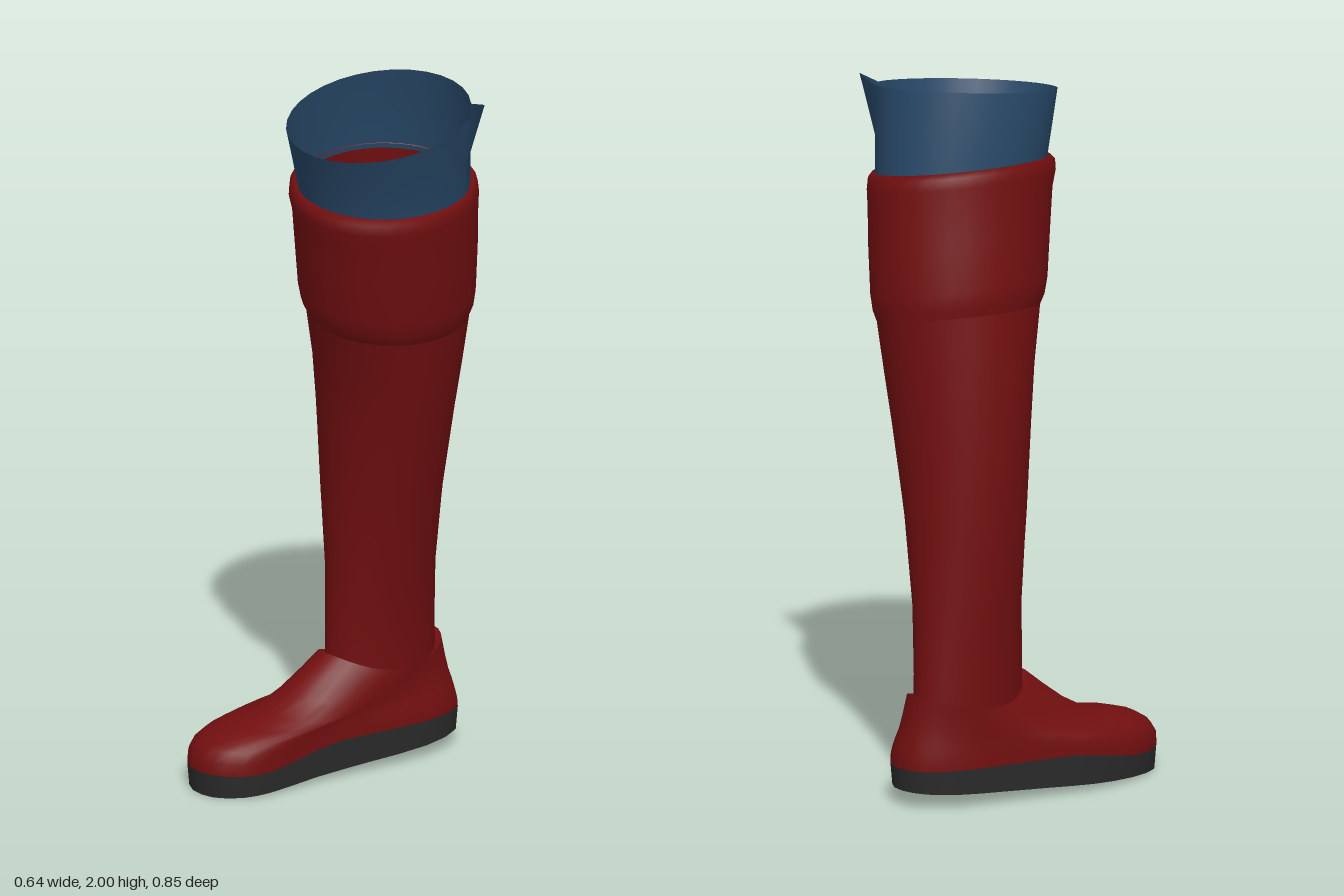
import * as THREE from 'three';

const N = 32;
const V = (x, y, z) => new THREE.Vector3(x, y, z);

// Smooth closed-loop skin through a stack of rings
function loft(rings) {
  const n = rings[0].length, pos = [], idx = [];
  rings.forEach(r => r.forEach(p => pos.push(p.x, p.y, p.z)));
  for (let i = 0; i < rings.length - 1; i++) {
    for (let j = 0; j < n; j++) {
      const k = (j + 1) % n, a = i * n, b = a + n;
      idx.push(a + j, b + j, a + k, b + j, b + k, a + k);
    }
  }
  const g = new THREE.BufferGeometry();
  g.setAttribute('position', new THREE.Float32BufferAttribute(pos, 3));
  g.setIndex(idx);
  g.computeVertexNormals();
  return g;
}

// Tilted oval ring from its x and z extents; y falls along +x by sx and +z by sz
function oval([y, x0, x1, zBack, zFront, sx = 0, sz = 0]) {
  const cx = (x0 + x1) / 2, cz = (zBack + zFront) / 2;
  return Array.from({ length: N }, (_, j) => {
    const a = j / N * Math.PI * 2;
    const dx = Math.cos(a) * (x1 - x0) / 2, dz = Math.sin(a) * (zFront - zBack) / 2;
    return V(cx + dx, y - sx * dx - sz * dz, cz + dz);
  });
}

export function createModel() {
  const group = new THREE.Group();
  const mat = (name, color) => {
    const m = new THREE.MeshStandardMaterial({ color, side: THREE.DoubleSide });
    m.name = name;
    return m;
  };
  const red = mat('red leather', 0x720f10);
  const blue = mat('blue cloth', 0x274766);
  const dark = mat('dark rubber', 0x2a2a2a);
  const add = (name, geo, m) => {
    const mesh = new THREE.Mesh(geo, m);
    mesh.name = name;
    group.add(mesh);
  };

  // Shaft, from ankle to just under the cuff
  add('shaft', loft([
    [0.25, -0.23, -0.01, -0.375, -0.02],
    [0.36, -0.23, -0.008, -0.37, -0.02],
    [0.55, -0.235, 0.02, -0.355, -0.02],
    [0.80, -0.25, 0.075, -0.35, 0.0, 0.03],
    [1.05, -0.25, 0.14, -0.35, 0.03, 0.08, 0.02],
    [1.20, -0.24, 0.175, -0.357, 0.06, 0.12, 0.03],
    [1.35, -0.225, 0.205, -0.367, 0.105, 0.18, 0.04],
  ].map(oval)), red);

  // Folded cuff with a rolled top edge
  add('cuff', loft([
    [1.345, -0.222, 0.205, -0.366, 0.105, 0.18, 0.04],
    [1.375, -0.228, 0.222, -0.372, 0.125, 0.18, 0.04],
    [1.42, -0.23, 0.233, -0.375, 0.138, 0.18, 0.04],
    [1.55, -0.212, 0.255, -0.365, 0.167, 0.17, 0.04],
    [1.66, -0.198, 0.27, -0.355, 0.19, 0.17, 0.04],
    [1.705, -0.197, 0.28, -0.352, 0.206, 0.17, 0.04],
    [1.735, -0.192, 0.278, -0.348, 0.206, 0.17, 0.04],
    [1.75, -0.18, 0.268, -0.335, 0.192, 0.17, 0.04],
    [1.735, -0.168, 0.255, -0.32, 0.178, 0.17, 0.04],
  ].map(oval)), red);

  // Lining band, leaning forward, with one pulled corner on the back of the rim
  const rim = oval([1.953, -0.15, 0.315, -0.29, 0.252, 0.11, 0.15]);
  rim[28].set(0.28, 1.99, -0.235);
  add('liningBand', loft([
    oval([1.72, -0.17, 0.26, -0.325, 0.18, 0.17, 0.04]),
    oval([1.83, -0.165, 0.28, -0.312, 0.21, 0.13, 0.08]),
    rim,
  ]), blue);

  // Sole outline, running from the inner side round the toe to the heel
  const outline = new THREE.CatmullRomCurve3([
    [0, -0.05], [-0.02, 0.12], [-0.025, 0.28], [-0.05, 0.36],
    [-0.115, 0.417], [-0.2, 0.42], [-0.27, 0.37], [-0.315, 0.25],
    [-0.32, 0.1], [-0.285, -0.05], [-0.25, -0.2], [-0.22, -0.31],
    [-0.165, -0.395], [-0.09, -0.42], [-0.01, -0.385], [0.024, -0.25],
  ].map(([x, z]) => V(x, 0, z)), true);
  const base = Array.from({ length: N }, (_, j) => outline.getPoint(j / N));
  const topY = z => 0.068 + 0.042 * (1 - THREE.MathUtils.smoothstep(z, 0, 0.32));
  const bottomY = z => Math.max(0, 0.024 - 0.055 * z);
  const soleRing = (yOf, s) => base.map(p => {
    const x = -0.14 + (p.x + 0.14) * s, z = p.z * s;
    return V(x, yOf(z), z);
  });
  add('soleEdge', loft([soleRing(bottomY, 0.985), soleRing(topY, 1)]), dark);
  add('soleBottom', loft([0, 0.4, 0.75, 0.985].map(s => soleRing(bottomY, s))), dark);
  add('insole', loft([0.99, 0.7, 0.4, 0].map(s => soleRing(topY, s))), dark);

  // Foot upper: from the sole outline in to the raised ankle collar
  const steps = [
    [0, 0], [0.005, 0.13], [0.05, 0.25], [0.14, 0.34], [0.3, 0.41],
    [0.52, 0.47], [0.71, 0.64], [0.86, 0.82], [1, 1],
  ];
  add('footUpper', loft(steps.map(([f, h]) => base.map((p, j) => {
    const a = (j / 2 - 0.5) * Math.PI / 8, s = Math.sin(a);
    const collar = V(-0.115 + 0.126 * Math.cos(a), 0.275 + s * s * (s > 0 ? 0.055 : 0.043), -0.192 + 0.195 * s);
    const w = THREE.MathUtils.smoothstep(s, -0.5, 0.4);
    const start = topY(p.z), rise = THREE.MathUtils.lerp(f * 0.5 + h * 0.5, h, w);
    return V(
      THREE.MathUtils.lerp(p.x, collar.x, f),
      THREE.MathUtils.lerp(start, collar.y, rise),
      THREE.MathUtils.lerp(p.z, collar.z, f),
    );
  }))), red);

  // Lip turning in from the collar to the shaft
  add('collarLip', loft([1, 0.9].map((k, i) => Array.from({ length: N }, (_, j) => {
    const a = (j / 2 - 0.5) * Math.PI / 8, s = Math.sin(a);
    return V(-0.115 + 0.126 * k * Math.cos(a),
      0.275 + s * s * (s > 0 ? 0.055 : 0.043) - i * 0.012, -0.192 + 0.195 * k * s);
  }))), red);

  return group;
}
